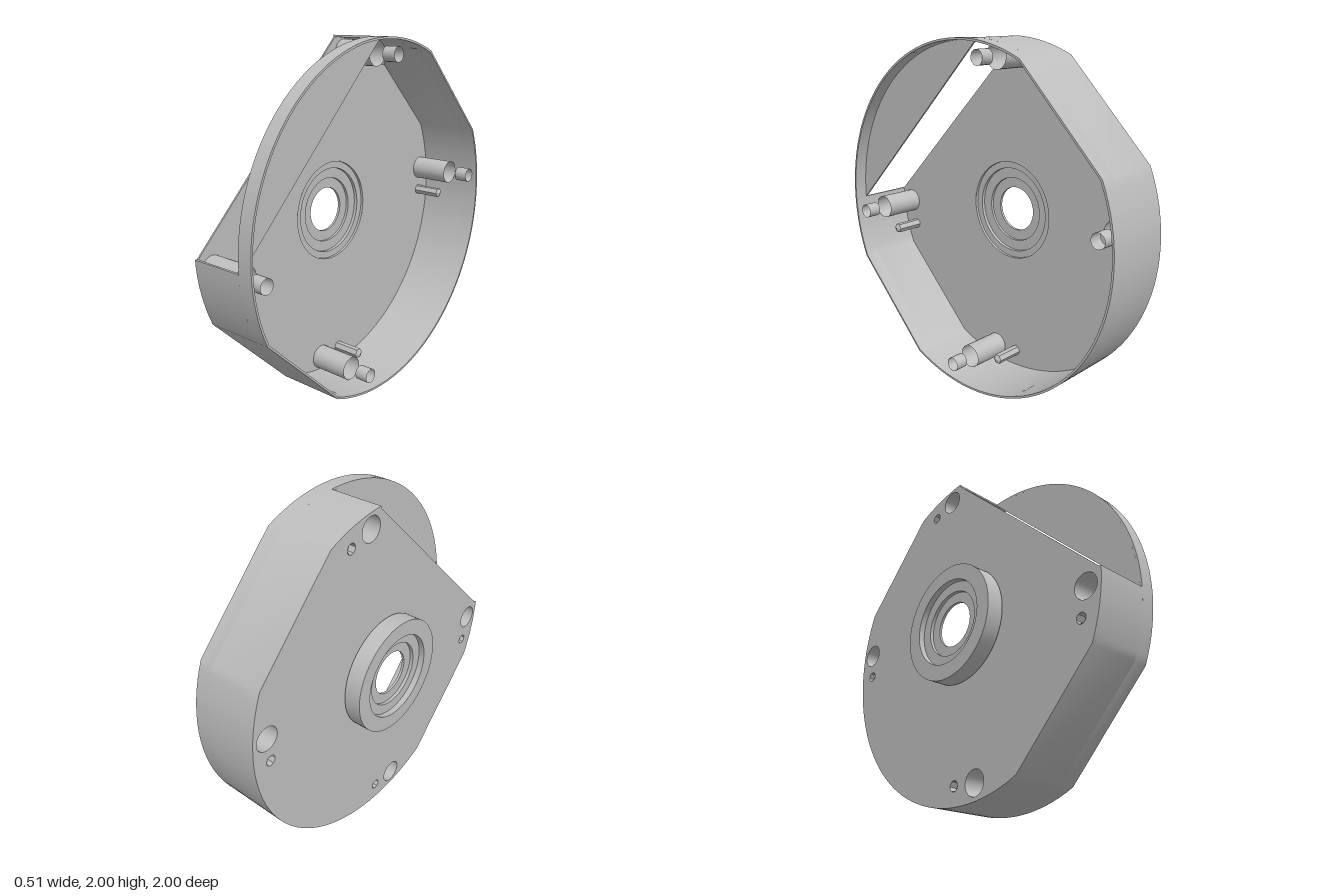
import * as THREE from 'three';
import { toCreasedNormals } from 'three/addons/utils/BufferGeometryUtils.js';

const metal = new THREE.MeshStandardMaterial({ color: 0xbebebe, side: THREE.DoubleSide });
metal.name = 'cast grey metal';

// Profile plane: u = -z, v = y - 1; everything is extruded along x.
const BACK = -0.15, STEP = 0.165, FRONT = 0.25, SKIN = 0.012;
const INNER = 1 - SKIN;

// Points along the given arcs (degrees); gaps between arcs become straight flats
function outline(arcs, r) {
  const pts = [];
  for (const [a, b] of arcs) {
    const n = Math.ceil((b - a) / 3);
    for (let i = 0; i <= n; i++) {
      const t = THREE.MathUtils.degToRad(a + (b - a) * i / n);
      pts.push(new THREE.Vector2(r * Math.cos(t), r * Math.sin(t)));
    }
  }
  return pts;
}

function circleHole(u, v, r) {
  return new THREE.Path().absarc(u, v, r, 0, Math.PI * 2, true);
}

function addMesh(group, name, geo, crease = 0.5) {
  const mesh = new THREE.Mesh(toCreasedNormals(geo, crease), metal);
  mesh.name = name;
  group.add(mesh);
  return mesh;
}

function addSlab(group, name, shape, x0, x1) {
  const geo = new THREE.ExtrudeGeometry(shape, { depth: x1 - x0, bevelEnabled: false, curveSegments: 24 });
  geo.rotateY(Math.PI / 2).translate(x0, 1, 0);
  return addMesh(group, name, geo);
}

// Cylinder lying along x between x0 and x1
function addRod(group, name, u, v, r0, r1, x0, x1, sides) {
  const geo = new THREE.CylinderGeometry(r1, r0, x1 - x0, sides, 1, true);
  geo.rotateZ(-Math.PI / 2).translate((x0 + x1) / 2, v + 1, -u);
  return addMesh(group, name, geo);
}

export function createModel() {
  const group = new THREE.Group();
  group.name = 'endCover';

  const posts = [[0.11, 0.905], [0.90, 0.11], [-0.90, -0.105], [-0.11, -0.90]];
  const studs = [[0.26, 0.86], [0.89, -0.04], [-0.86, -0.26], [0.05, -0.89]];

  // Back plate, cut by a chord and pierced for hub, posts and studs
  const plate = new THREE.Shape(outline([[66, 88], [182, 204], [246, 384]], INNER));
  plate.holes.push(circleHole(0, 0, 0.295));
  for (const [u, v] of posts) plate.holes.push(circleHole(u, v, 0.07));
  for (const [u, v] of studs) plate.holes.push(circleHole(u, v, 0.03));
  addSlab(group, 'backPlate', plate, BACK, BACK + 0.01);

  // Side wall, open along the chord
  const path = [[182, 204], [246, 384], [426, 448]];
  const wall = new THREE.Shape([...outline(path, 1), ...outline(path, INNER).reverse()]);
  addSlab(group, 'sideWall', wall, BACK, STEP);

  // Complete rim in front of the step
  const full = [[66, 204], [246, 384]];
  const rim = new THREE.Shape(outline(full, 1));
  rim.holes.push(new THREE.Path(outline(full, INNER).reverse()));
  addSlab(group, 'frontRim', rim, STEP, FRONT);

  // Raised segment closing the rim over the cut-out
  addSlab(group, 'stepSegment', new THREE.Shape(outline([[88, 182]], INNER)), STEP, STEP + 0.01);

  // Stepped bearing hub
  const profile = [
    [0.25, -0.26], [0.34, -0.26], [0.34, -0.16], [0.295, -0.16], [0.295, -0.14],
    [0.29, -0.14], [0.29, -0.155], [0.25, -0.155], [0.25, -0.175], [0.19, -0.175],
    [0.19, -0.19], [0.13, -0.19], [0.13, -0.205], [0.19, -0.205], [0.19, -0.225],
    [0.25, -0.225], [0.25, -0.26],
  ].map(([r, x]) => new THREE.Vector2(r, x));
  const hub = new THREE.LatheGeometry(profile, 64);
  hub.rotateZ(-Math.PI / 2).translate(0, 1, 0);
  addMesh(group, 'bearingHub', hub);

  // Hollow screw posts with the smaller sleeves ahead of them
  for (const [u, v] of posts) {
    addRod(group, 'screwPost', u, v, 0.07, 0.07, BACK, 0.1, 32);
    addRod(group, 'screwSleeve', u, v, 0.042, 0.042, STEP, FRONT - 0.005, 24);
  }

  // Six-sided blind studs with pointed tips
  for (const [u, v] of studs) {
    addRod(group, 'stud', u, v, 0.03, 0.03, BACK, 0.025, 6);
    addRod(group, 'studTip', u, v, 0.03, 0, 0.025, 0.04, 6);
  }

  return group;
}
